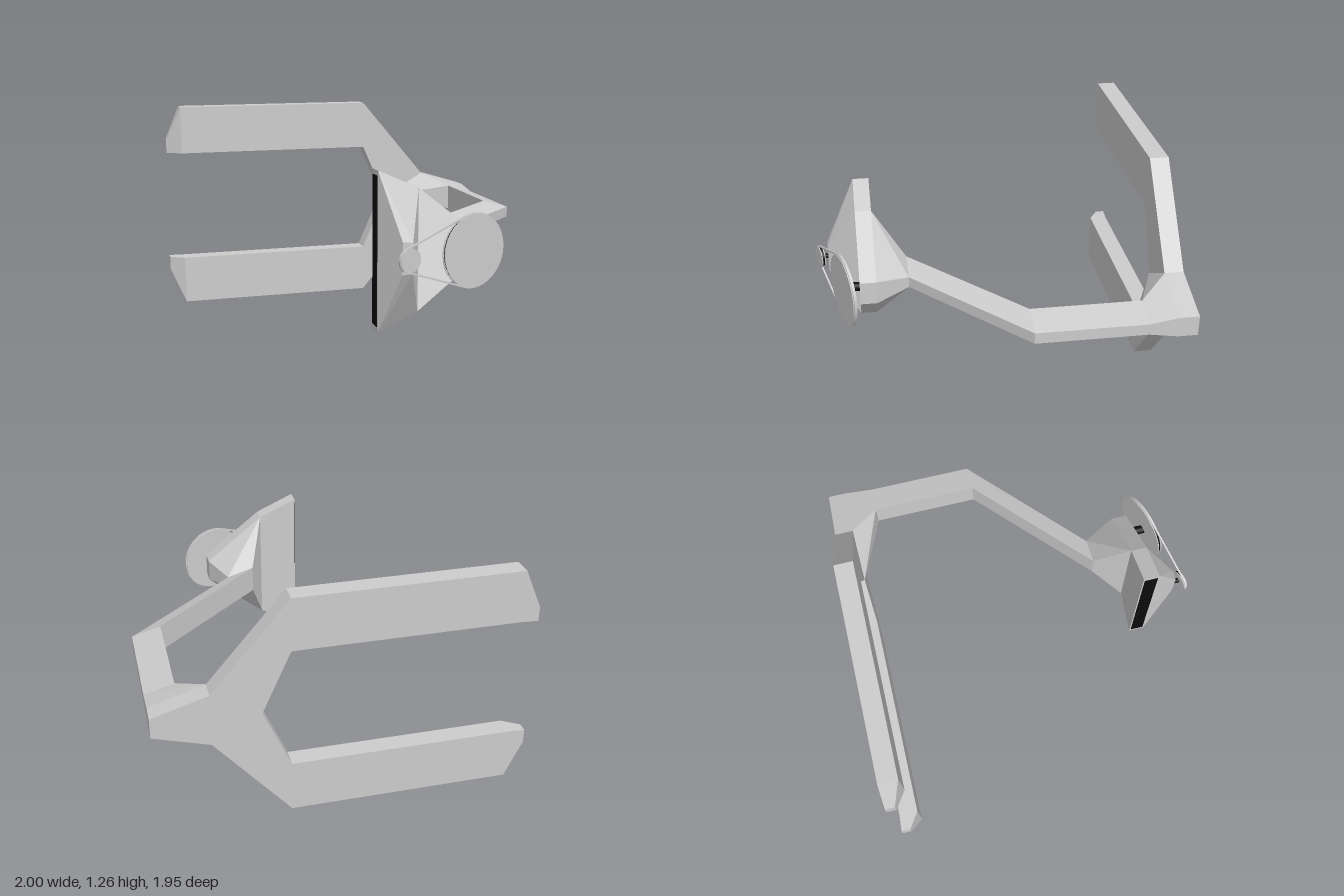
import * as THREE from 'three';
import { ConvexGeometry } from 'three/addons/geometries/ConvexGeometry.js';

const MID = 0.632; // height of the horizontal mirror plane

const hullGrey = new THREE.MeshStandardMaterial({ color: 0xcccccc });
hullGrey.name = 'hullGrey';
const black = new THREE.MeshStandardMaterial({ color: 0x0c0c0c });
black.name = 'black';
const paleGrey = new THREE.MeshStandardMaterial({ color: 0xf6f6f6 });
paleGrey.name = 'paleGrey';

const V = (x, y, z) => new THREE.Vector3(x, y, z);

function add(parent, name, geometry, material) {
  const mesh = new THREE.Mesh(geometry, material);
  mesh.name = name;
  parent.add(mesh);
  return mesh;
}

// Points [x, half height, z] mirrored above and below the mid plane
const mirrored = (pts) => pts.flatMap(([x, h, z]) => [V(x, MID + h, z), V(x, MID - h, z)]);
const solid = (pts) => new ConvexGeometry(mirrored(pts));

// Closed outline from upper points [x, half height], mirrored to the lower half
function mirroredShape(upper) {
  const lower = upper.filter((p) => p[1] > 0).map(([x, h]) => [x, -h]).reverse();
  return new THREE.Shape([...upper, ...lower].map(([x, h]) => new THREE.Vector2(x, MID + h)));
}

function extrude(shape, z0, z1) {
  return new THREE.ExtrudeGeometry(shape, { depth: z1 - z0, bevelEnabled: false, curveSegments: 24 })
    .translate(0, 0, z0);
}

// Outline of a belt around a large wheel at the origin and a small one at x = -d
function beltPath(path, R, r, d) {
  const a = Math.PI - Math.acos((R - r) / d);
  path.absarc(0, 0, R, -a, a, false);
  path.absarc(-d, 0, r, a, 2 * Math.PI - a, false);
  path.closePath();
  return path;
}

export function createModel() {
  const model = new THREE.Group();
  model.name = 'forkedCraft';

  // Rear fork with two long prongs
  const fork = new THREE.Group();
  fork.name = 'fork';
  model.add(fork);
  const forkShape = mirroredShape([
    [0.44, 0], [0.29, 0.34], [-0.91, 0.34], [-0.91, 0.632],
    [0.29, 0.632], [0.70, 0.147], [1.0, 0.056],
  ]);
  add(fork, 'forkBody', extrude(forkShape, -0.97, -0.865), hullGrey);
  for (const s of [1, -1]) {
    const tip = [];
    for (const [x, h, z] of [
      [-0.91, 0.34, -0.97], [-0.91, 0.632, -0.97], [-0.91, 0.34, -0.865], [-0.91, 0.632, -0.865],
      [-1, 0.34, -0.977], [-1, 0.42, -0.977], [-1, 0.34, -0.925], [-1, 0.42, -0.925],
    ]) tip.push(V(x, MID + s * h, z));
    add(fork, s > 0 ? 'upperProngTip' : 'lowerProngTip', new ConvexGeometry(tip), hullGrey);
  }

  // Arm: trapezoid section, taller on its inner edge
  const section = (xIn, xOut, z) => [[xIn, 0.077, z], [xOut, 0.031, z]];
  const stations = [section(0.84, 1, -0.71), section(0.84, 1, -0.115), section(0.2, 0.355, 0.47)];
  add(model, 'neck', solid([
    [0.44, 0, -0.865], [0.70, 0.147, -0.865], [1, 0.056, -0.865], ...stations[0],
  ]), hullGrey);
  add(model, 'straightArm', solid([...stations[0], ...stations[1]]), hullGrey);
  add(model, 'diagonalArm', solid([...stations[1], ...stations[2]]), hullGrey);

  // Head: wedge, plate and blunt nose
  const head = new THREE.Group();
  head.name = 'head';
  model.add(head);
  add(head, 'headWedge', solid([...stations[2], [0.11, 0.33, 0.65], [0.445, 0.065, 0.65]]), hullGrey);
  const plate = mirroredShape([[0.445, 0.065], [0.11, 0.33], [-0.11, 0.428]]);
  add(head, 'headPlate', extrude(plate, 0.65, 0.74), hullGrey);
  const panel = mirroredShape([[0.445, 0.065], [0.11, 0.33]]);
  add(head, 'frontPanel', new THREE.ShapeGeometry(panel).translate(0, 0, 0.742), paleGrey);
  add(head, 'nose', solid([
    [-0.11, 0.428, 0.74], [0.11, 0.33, 0.74], [-0.03, 0.085, 0.905], [0.025, 0.08, 0.905],
  ]), hullGrey);
  add(head, 'sideSlot', new THREE.BoxGeometry(0.006, 0.8, 0.074).translate(-0.111, MID, 0.695), black);

  // Axles carrying the two wheels
  for (const [name, x, r, z0, z1] of [
    ['largeAxle', 0.362, 0.025, 0.74, 0.832], ['smallAxle', -0.008, 0.014, 0.9, 0.945],
  ]) {
    const axle = new THREE.CylinderGeometry(r, r, z1 - z0, 16).rotateX(Math.PI / 2);
    add(model, name, axle.translate(x, MID, (z0 + z1) / 2), black);
  }

  // Tilted pair of wheels joined by a belt
  const drive = new THREE.Group();
  drive.name = 'beltDrive';
  drive.position.set(0.385, MID, 0.827);
  drive.rotation.y = 0.3;
  model.add(drive);
  const R = 0.19, r = 0.056, d = 0.41;
  for (const [name, x, radius] of [['largeWheel', 0, R], ['smallWheel', -d, r]]) {
    const disc = (rad, h, z) =>
      new THREE.CylinderGeometry(rad, rad, h, 32).rotateX(Math.PI / 2).translate(x, 0, z);
    add(drive, name + 'Front', disc(radius + 0.006, 0.005, 0.0085), hullGrey);
    add(drive, name + 'Back', disc(radius + 0.006, 0.005, -0.0085), hullGrey);
    add(drive, name + 'Rim', disc(radius, 0.013, 0), black);
  }
  const belt = beltPath(new THREE.Shape(), R + 0.011, r + 0.009, d);
  belt.holes.push(beltPath(new THREE.Path(), R + 0.001, r + 0.001, d));
  add(drive, 'belt', extrude(belt, -0.005, 0.005), hullGrey);

  return model;
}
